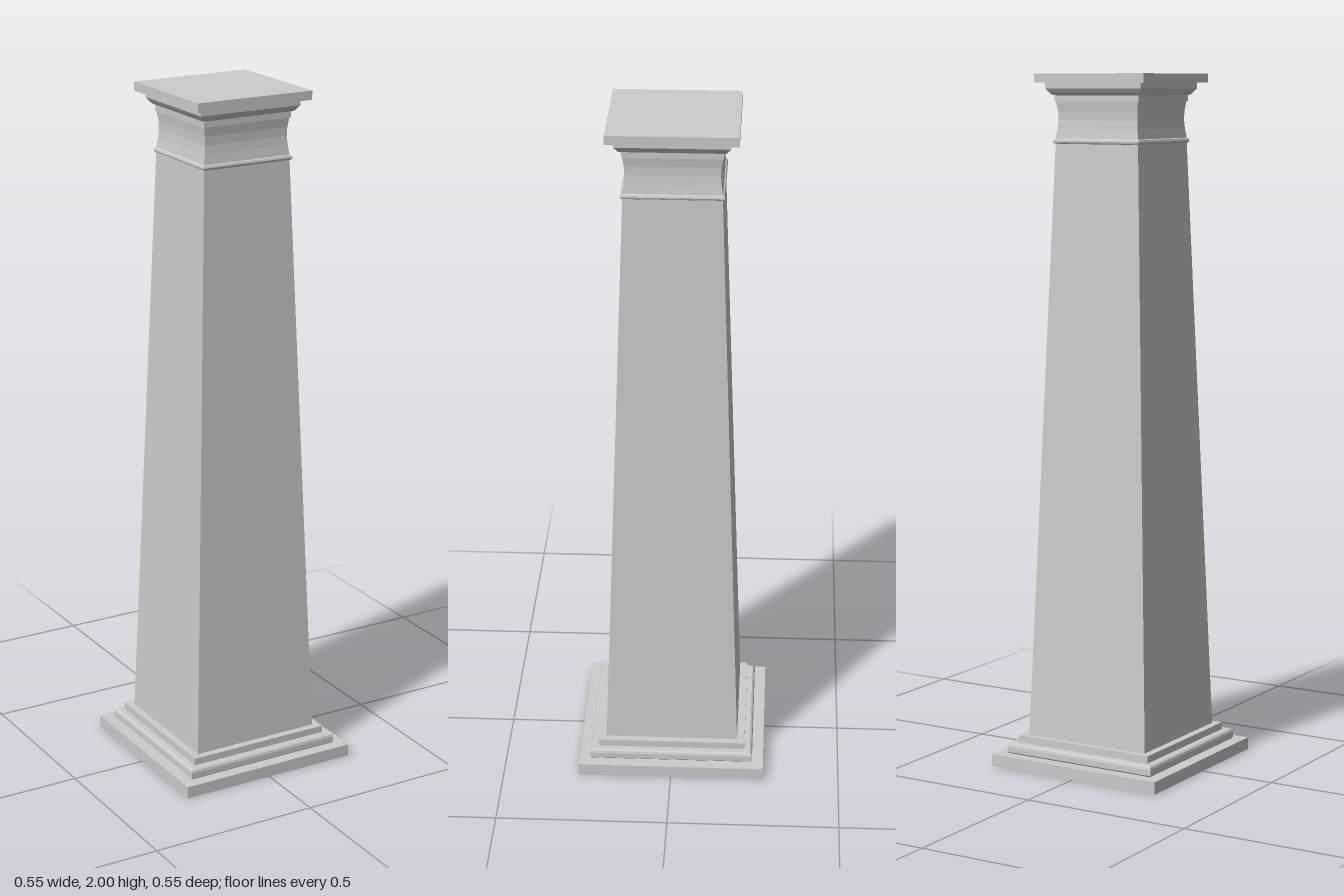
import * as THREE from 'three';

const material = new THREE.MeshStandardMaterial({ color: 0xcccccc, flatShading: true });

// Square moulding: profile of [half width, height] swept round four sides, listed upward
function squareMoulding(name, profile) {
  const points = profile.map(([half, y]) => new THREE.Vector2(half * Math.SQRT2, y));
  const geometry = new THREE.LatheGeometry(points, 4, Math.PI / 4).toNonIndexed();
  geometry.computeVertexNormals();
  const mesh = new THREE.Mesh(geometry, material);
  mesh.name = name;
  return mesh;
}

export function createModel() {
  const column = new THREE.Group();
  column.name = 'squareColumn';

  // Base: plinth, rounded step and fillet
  column.add(squareMoulding('plinth', [[0, 0], [0.275, 0], [0.275, 0.036], [0.238, 0.036]]));
  column.add(squareMoulding('baseStep', [
    [0.238, 0.036], [0.242, 0.04], [0.242, 0.056], [0.24, 0.063], [0.235, 0.067], [0.218, 0.067],
  ]));
  column.add(squareMoulding('baseFillet', [[0.218, 0.067], [0.218, 0.088], [0.196, 0.088]]));

  // Tapered shaft
  column.add(squareMoulding('shaft', [[0.196, 0.088], [0.136, 1.803]]));

  // Thin bead between shaft and neck
  column.add(squareMoulding('neckBead', [
    [0.136, 1.803], [0.14, 1.805], [0.142, 1.81], [0.14, 1.816], [0.136, 1.818],
  ]));

  // Neck, curving in and flaring out under the capital
  column.add(squareMoulding('neck', [
    [0.136, 1.818], [0.132, 1.845], [0.13, 1.87], [0.131, 1.895], [0.135, 1.922],
  ]));

  // Capital: fillet, flared moulding and band
  column.add(squareMoulding('capitalFillet', [[0.135, 1.922], [0.138, 1.922], [0.138, 1.939]]));
  column.add(squareMoulding('capitalMoulding', [
    [0.138, 1.939], [0.144, 1.941], [0.149, 1.947], [0.157, 1.958], [0.157, 1.974],
  ]));

  // Flat top slab
  column.add(squareMoulding('abacus', [[0.157, 1.974], [0.18, 1.974], [0.18, 2], [0, 2]]));

  return column;
}
